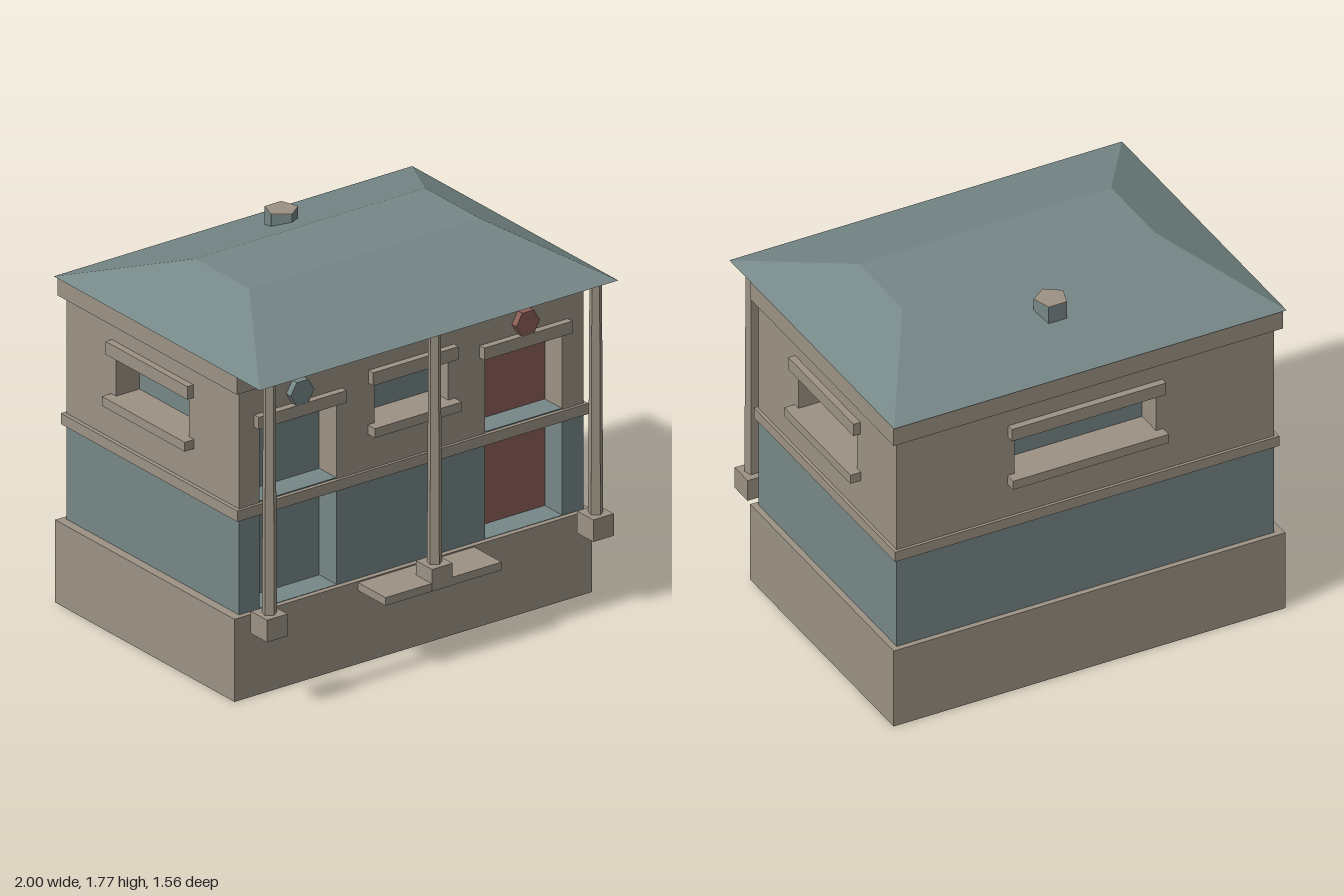
import * as THREE from 'three';

const stone = new THREE.MeshStandardMaterial({ color: 0x9c9284, side: THREE.DoubleSide });
stone.name = 'beige stone';
const slate = new THREE.MeshStandardMaterial({ color: 0x768787, side: THREE.DoubleSide });
slate.name = 'blue grey';
const red = new THREE.MeshStandardMaterial({ color: 0x8c5f58, side: THREE.DoubleSide });
red.name = 'dull red';

const HALF_W = 0.947, HALF_D = 0.638, MID_Z = -0.092, RECESS = 0.13;

function add(parent, name, geometry, material, x = 0, y = 0, z = 0) {
  const mesh = new THREE.Mesh(geometry, material);
  mesh.name = name;
  mesh.position.set(x, y, z);
  parent.add(mesh);
  return mesh;
}

// Box given by its limits on each axis
function box(parent, name, material, [x0, x1], [y0, y1], [z0, z1]) {
  return add(parent, name, new THREE.BoxGeometry(x1 - x0, y1 - y0, z1 - z0), material,
    (x0 + x1) / 2, (y0 + y1) / 2, (z0 + z1) / 2);
}

function rectangle(path, x0, x1, y0, y1) {
  path.moveTo(x0, y0);
  path.lineTo(x1, y0);
  path.lineTo(x1, y1);
  path.lineTo(x0, y1);
  path.closePath();
  return path;
}

// Wall with openings, outer face at z = 0
function wall(parent, name, material, half, y0, y1, holes) {
  const shape = rectangle(new THREE.Shape(), -half, half, y0, y1);
  for (const h of holes) shape.holes.push(rectangle(new THREE.Path(), ...h));
  const geometry = new THREE.ExtrudeGeometry(shape, { depth: RECESS, bevelEnabled: false });
  return add(parent, name, geometry, material, 0, 0, -RECESS);
}

// Recessed pane with lintel and sill
function windowSet(parent, half) {
  box(parent, 'windowPane', slate, [-half - 0.01, half + 0.01], [1.12, 1.34], [-RECESS - 0.008, -RECESS + 0.001]);
  box(parent, 'windowLintel', stone, [-half - 0.032, half + 0.032], [1.33, 1.393], [-0.02, 0.034]);
  box(parent, 'windowSill', stone, [-half - 0.036, half + 0.036], [1.085, 1.13], [-RECESS, 0.052]);
}

// One side of the house, facing its local +z
function facade(name, half, windowHalf, doors = []) {
  const group = new THREE.Group();
  group.name = name;
  wall(group, 'lowerWall', slate, half, 0.401, 0.88, doors.map(([a, b]) => [a, b, 0.403, 0.875]));
  wall(group, 'upperWall', stone, half, 0.88, 1.5,
    [[-windowHalf, windowHalf, 1.13, 1.33], ...doors.map(([a, b]) => [a, b, 0.9, 1.29])]);
  windowSet(group, windowHalf);
  return group;
}

// Tall recessed door with sunken sill, lintel and hexagonal lamp
function door(parent, name, material, [x0, x1]) {
  const mid = (x0 + x1) / 2;
  box(parent, name, material, [x0, x1], [0.37, 1.3], [-RECESS - 0.008, -RECESS + 0.001]);
  box(parent, name + 'Sill', material, [x0, x1], [0.36, 0.395], [-RECESS, 0]);
  box(parent, name + 'Ledge', slate, [x0, x1], [0.912, 0.919], [-RECESS, -0.005]);
  box(parent, name + 'Lintel', stone, [mid - 0.242, mid + 0.242], [1.288, 1.347], [-0.02, 0.034]);
  const hexagon = new THREE.CylinderGeometry(0.065, 0.065, 0.06, 6).toNonIndexed();
  hexagon.computeVertexNormals();
  hexagon.rotateY(Math.PI / 6).rotateX(Math.PI / 2);
  hexagon.rotateZ(0);
  const lamp = add(parent, name + 'Lamp', hexagon, material, mid, 1.402, 0.003);
  // Turn so that a corner points sideways
  lamp.geometry.computeBoundingBox();
  const size = lamp.geometry.boundingBox.getSize(new THREE.Vector3());
  if (size.x < size.y) lamp.rotation.z = Math.PI / 6;
}

// Flat-sided prism with a corner towards +z
function prism(rTop, rBottom, height, sides) {
  const geometry = new THREE.CylinderGeometry(rTop, rBottom, height, sides).toNonIndexed();
  geometry.computeVertexNormals();
  return geometry;
}

// Hip roof with a flat top, by moving the upper corners of a box
function roofGeometry() {
  const geometry = new THREE.BoxGeometry(1, 1, 1).toNonIndexed();
  const p = geometry.attributes.position;
  for (let i = 0; i < p.count; i++) {
    const top = p.getY(i) > 0, right = p.getX(i) > 0, front = p.getZ(i) > 0;
    const x = top ? (right ? 0.625 : -0.64) : (right ? 0.975 : -0.996);
    const z = top ? (front ? 0.21 : -0.19) : (front ? 0.765 : -0.757);
    p.setXYZ(i, x, top ? 1.775 : 1.58, z);
  }
  geometry.computeVertexNormals();
  return geometry;
}

export function createModel() {
  const model = new THREE.Group();
  model.name = 'house';

  // Foundation, open underneath
  const foundation = box(model, 'foundation', stone, [-0.99, 0.976], [0, 0.4], [-0.755, 0.57]);
  const index = Array.from(foundation.geometry.index.array);
  index.splice(18, 6);
  foundation.geometry.setIndex(index);
  foundation.geometry.clearGroups();

  // Four walls
  const leftDoor = [-0.834, -0.41], rightDoor = [0.406, 0.83];
  const front = facade('frontFacade', HALF_W, 0.203, [leftDoor, rightDoor]);
  front.position.z = MID_Z + HALF_D;
  door(front, 'blueDoor', slate, leftDoor);
  door(front, 'redDoor', red, rightDoor);

  const back = facade('backFacade', HALF_W, 0.355);
  back.rotation.y = Math.PI;
  back.position.z = MID_Z - HALF_D;
  model.add(front, back);

  for (const side of [-1, 1]) {
    const wallGroup = facade(side > 0 ? 'leftFacade' : 'rightFacade', HALF_D - RECESS, 0.27);
    wallGroup.rotation.y = side * Math.PI / 2;
    wallGroup.position.set(side * HALF_W, 0, MID_Z);
    model.add(wallGroup);
  }

  // Floor band and eaves trim
  box(model, 'floorBand', stone, [-0.967, 0.963], [0.862, 0.914], [-0.744, 0.56]);
  box(model, 'eavesTrim', stone, [-0.98, 0.974], [1.486, 1.579], [-0.752, 0.574]);

  // Roof and chimney
  add(model, 'roof', roofGeometry(), slate);
  add(model, 'chimney', prism(0.078, 0.078, 0.13, 5), slate, 0, 1.696, -0.413);
  add(model, 'chimneyCap', prism(0.078, 0.078, 0.004, 5), stone, 0, 1.763, -0.413);

  // Porch posts on square bases
  for (const x of [-0.908, 0, 0.886]) {
    add(model, 'postBase', new THREE.BoxGeometry(0.113, 0.107, 0.12), stone, x, 0.41, 0.716);
    add(model, 'post', prism(0.029, 0.035, 1.12, 5), stone, x, 1.02, 0.718);
  }

  // Entrance step
  box(model, 'step', stone, [-0.31, 0.328], [0.355, 0.394], [0.565, 0.772]);

  return model;
}
